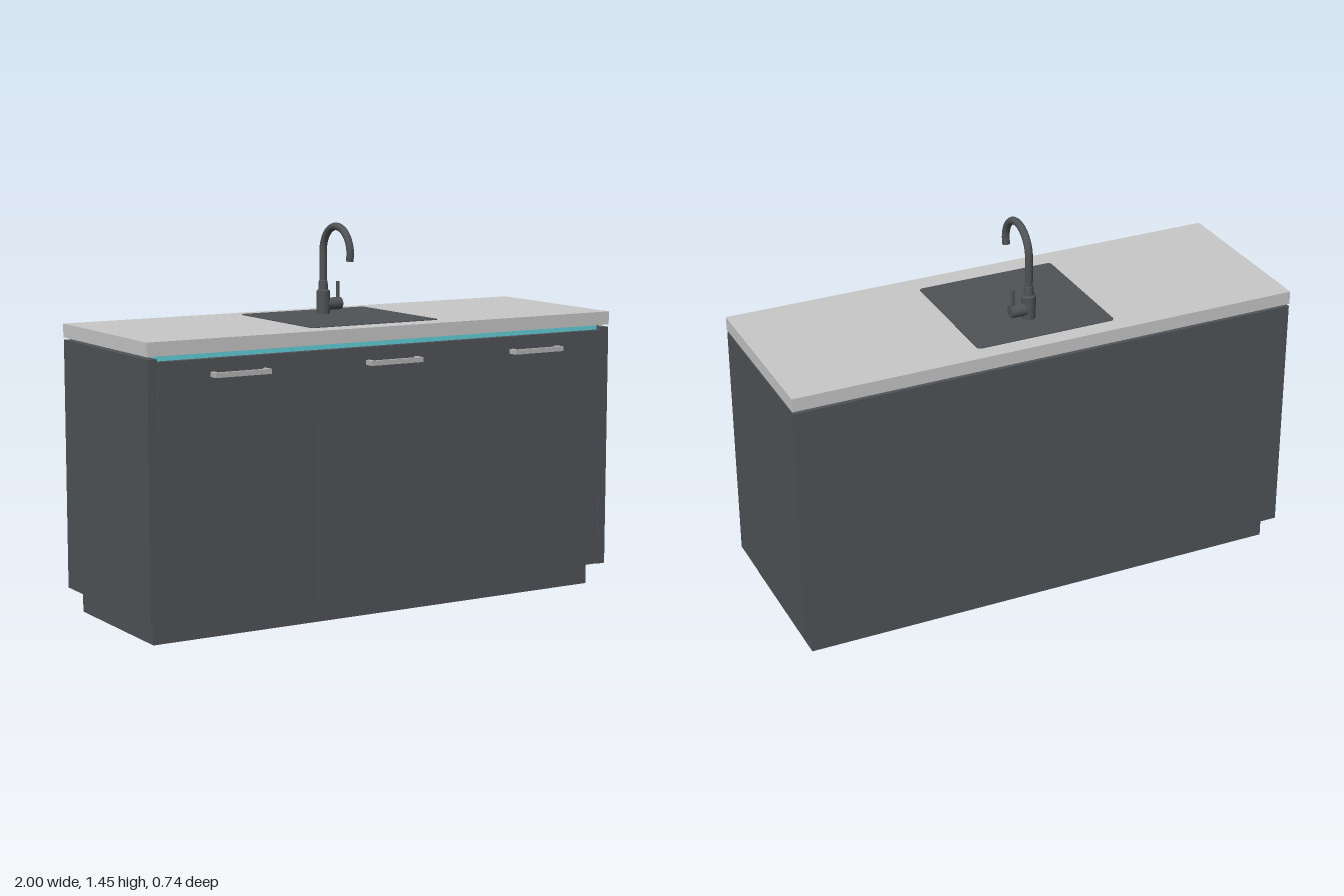
import * as THREE from 'three';

const mat = (name, color) => {
  const m = new THREE.MeshStandardMaterial({ color });
  m.name = name;
  return m;
};

export function createModel() {
  const cabinet = mat('charcoal cabinet', 0x505457);
  const stone = mat('pale worktop', 0xc8c8c9);
  const steel = mat('handle steel', 0xb4b5b4);
  const dark = mat('dark sink metal', 0x505356);
  const cyan = mat('cyan liner', 0x62d2dc);

  const root = new THREE.Group();
  root.name = 'sinkCabinet';

  const add = (parent, name, geometry, material, x = 0, y = 0, z = 0) => {
    const mesh = new THREE.Mesh(geometry, material);
    mesh.name = name;
    mesh.position.set(x, y, z);
    parent.add(mesh);
    return mesh;
  };
  // Box given by its limits on each axis
  const box = (parent, name, material, [x0, x1], [y0, y1], [z0, z1]) =>
    add(parent, name, new THREE.BoxGeometry(x1 - x0, y1 - y0, z1 - z0), material,
      (x0 + x1) / 2, (y0 + y1) / 2, (z0 + z1) / 2);

  // Plinth, carcass and worktop
  box(root, 'plinth', cabinet, [-0.957, 0.957], [0, 0.092], [-0.33, 0.265]);
  box(root, 'carcassFloor', cabinet, [-0.96, 0.96], [0.09, 0.13], [-0.355, 0.305]);
  box(root, 'backPanel', cabinet, [-0.998, 0.998], [0.09, 1.031], [-0.37, -0.35]);
  for (const s of [-1, 1]) {
    const inner = s * 0.962, outer = s * 0.998;
    box(root, s > 0 ? 'leftSidePanel' : 'rightSidePanel', cabinet,
      [Math.min(inner, outer), Math.max(inner, outer)], [0.09, 1.031], [-0.35, 0.33]);
  }
  box(root, 'liner', cyan, [-0.96, 0.96], [0.13, 1.041], [-0.349, 0.305]);
  box(root, 'worktop', stone, [-1, 1], [1.04, 1.091], [-0.37, 0.33]);

  // Three doors with bracket handles
  [-0.641, 0, 0.641].forEach((x, i) => {
    box(root, 'door' + (i + 1), cabinet, [x - 0.3195, x + 0.3195], [0.092, 1.02], [0.306, 0.33]);
    const handle = new THREE.Group();
    handle.name = 'handle' + (i + 1);
    handle.position.set(x, 0.964, 0);
    root.add(handle);
    box(handle, 'handleBar', steel, [-0.112, 0.112], [-0.009, 0.009], [0.356, 0.37]);
    for (const s of [-1, 1])
      box(handle, 'handlePost', steel, [s * 0.104 - 0.008, s * 0.104 + 0.008],
        [-0.009, 0.009], [0.329, 0.357]);
  });

  // Flush sink cover with rounded corners
  const [w, d, r] = [0.276, 0.271, 0.015];
  const outline = new THREE.Shape();
  outline.absarc(w - r, d - r, r, 0, Math.PI / 2);
  outline.absarc(r - w, d - r, r, Math.PI / 2, Math.PI);
  outline.absarc(r - w, r - d, r, Math.PI, Math.PI * 1.5);
  outline.absarc(w - r, r - d, r, Math.PI * 1.5, Math.PI * 2);
  outline.closePath();
  const plate = new THREE.ExtrudeGeometry(outline, { depth: 0.004, bevelEnabled: false, curveSegments: 5 });
  plate.rotateX(-Math.PI / 2);
  add(root, 'sinkCover', plate, dark, -0.013, 1.09, -0.03);

  // Tap: stepped body, curved spout, side valve and lever
  const tap = new THREE.Group();
  tap.name = 'tap';
  tap.position.set(-0.01, 1.09, -0.15);
  root.add(tap);
  const profile = [[0, 0], [0.026, 0], [0.026, 0.093], [0.019, 0.098], [0.017, 0.13], [0.014, 0.135], [0, 0.135]]
    .map(([x, y]) => new THREE.Vector2(x, y));
  // Separate bands keep the steps crisp
  for (let i = 0; i < profile.length - 1; i++)
    add(tap, 'tapBody', new THREE.LatheGeometry([profile[i], profile[i + 1]], 28), dark);

  const path = new THREE.CurvePath();
  path.add(new THREE.LineCurve3(new THREE.Vector3(0, 0.12, 0), new THREE.Vector3(0, 0.245, 0)));
  const arc = [];
  for (let i = 0; i <= 20; i++) {
    const a = Math.PI * i / 20 * 1.04;
    arc.push(new THREE.Vector3(0, 0.245 + 0.1 * Math.sin(a), 0.1 - 0.1 * Math.cos(a)));
  }
  path.add(new THREE.CatmullRomCurve3(arc));
  add(tap, 'spout', new THREE.TubeGeometry(path, 72, 0.0145, 16), dark);
  const tip = add(tap, 'spoutTip', new THREE.CylinderGeometry(0.0145, 0.0145, 0.022, 16), dark, 0, 0.23, 0.198);
  tip.rotation.x = 0.12;

  const valve = add(tap, 'valve', new THREE.CylinderGeometry(0.024, 0.024, 0.072, 24), dark, 0.04, 0.041, 0);
  valve.rotation.z = Math.PI / 2;
  add(tap, 'lever', new THREE.CylinderGeometry(0.006, 0.006, 0.085, 12), dark, 0.065, 0.084, 0);

  return root;
}
